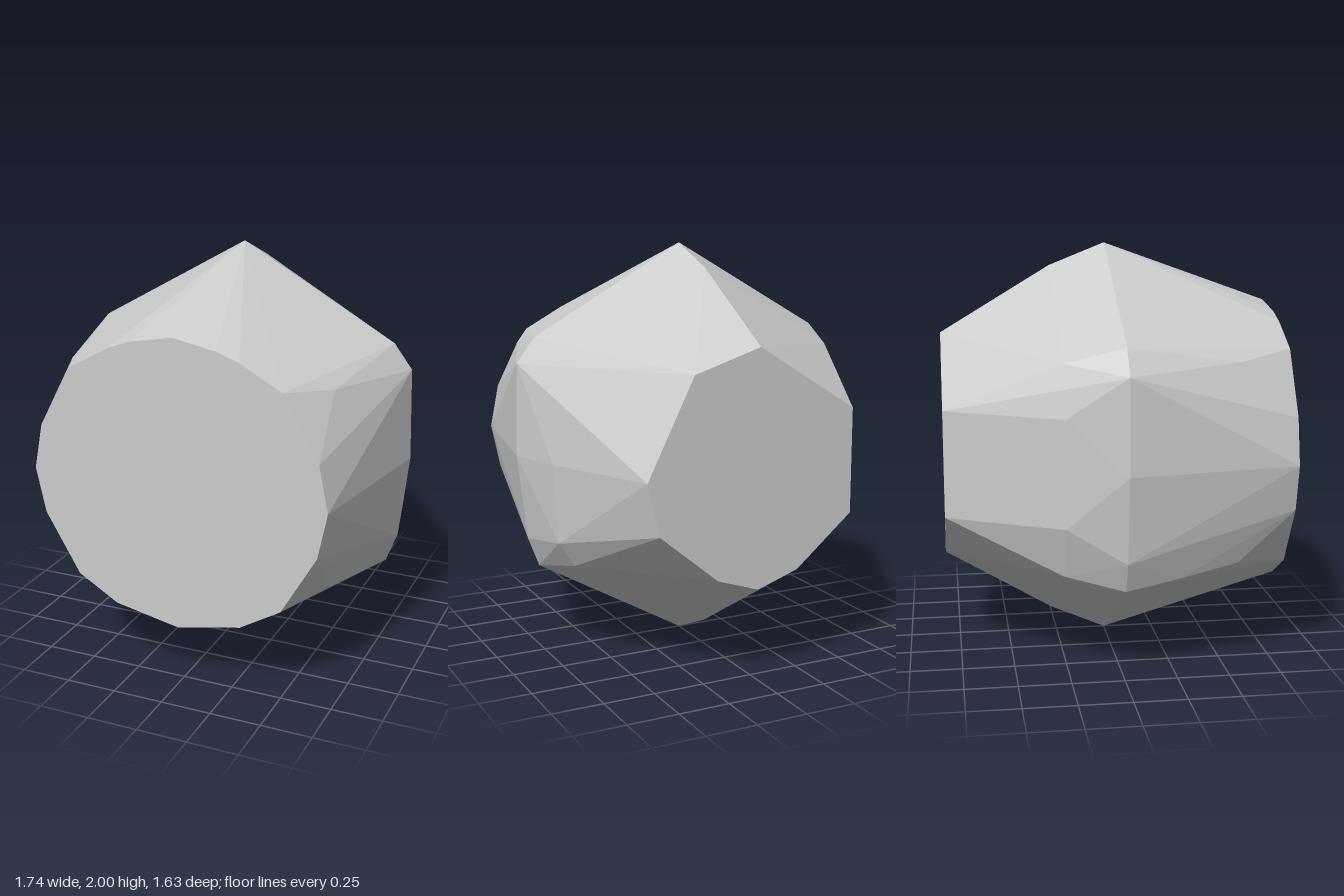
import * as THREE from 'three';
import { ConvexGeometry } from 'three/addons/geometries/ConvexGeometry.js';

// Points [x, y] at depth z, mirrored across x = 0
const mirrored = (z, pts) => pts.flatMap(([x, y]) =>
  x === 0 ? [new THREE.Vector3(0, y, z)]
    : [new THREE.Vector3(x, y, z), new THREE.Vector3(-x, y, z)]);

const single = (z, pts) => pts.map(([x, y]) => new THREE.Vector3(x, y, z));

export function createModel() {
  const group = new THREE.Group();
  group.name = 'facetedStone';

  const points = [
    // round flat front cap
    ...mirrored(0.815, [[0, 1.71], [0.21, 1.67], [0.32, 1.63], [0.52, 1.52], [0.69, 1.22],
      [0.735, 1], [0.69, 0.78], [0.52, 0.485], [0.32, 0.365], [0, 0.3]]),
    // shoulder corners behind the cap
    ...mirrored(0.55, [[0.665, 1.48], [0.66, 0.525]]),
    ...mirrored(0.27, [[0.72, 0.48]]),
    // widest girdle with top and bottom peaks
    ...mirrored(0, [[0, 2], [0.77, 1.565], [0.86, 1.445], [0.872, 1],
      [0.825, 0.585], [0.77, 0.44], [0, 0]]),
    // rear shoulder, different on each flank
    ...mirrored(-0.275, [[0, 1.89], [0, 0.12], [0.69, 0.5]]),
    ...single(-0.275, [[0.79, 1], [0.77, 0.62], [-0.69, 1.49], [-0.77, 1.25], [-0.77, 0.745]]),
    // smaller uneven back cap
    ...mirrored(-0.815, [[0, 1.565], [0.5, 0.75], [0.21, 0.51], [0, 0.44]]),
    ...single(-0.815, [[0.33, 1.46], [0.56, 1], [-0.5, 1.255]]),
  ];

  const body = new THREE.Mesh(
    new ConvexGeometry(points),
    new THREE.MeshStandardMaterial({ color: 0xcccccc, flatShading: true }));
  body.name = 'facetedBody';
  group.add(body);
  return group;
}
